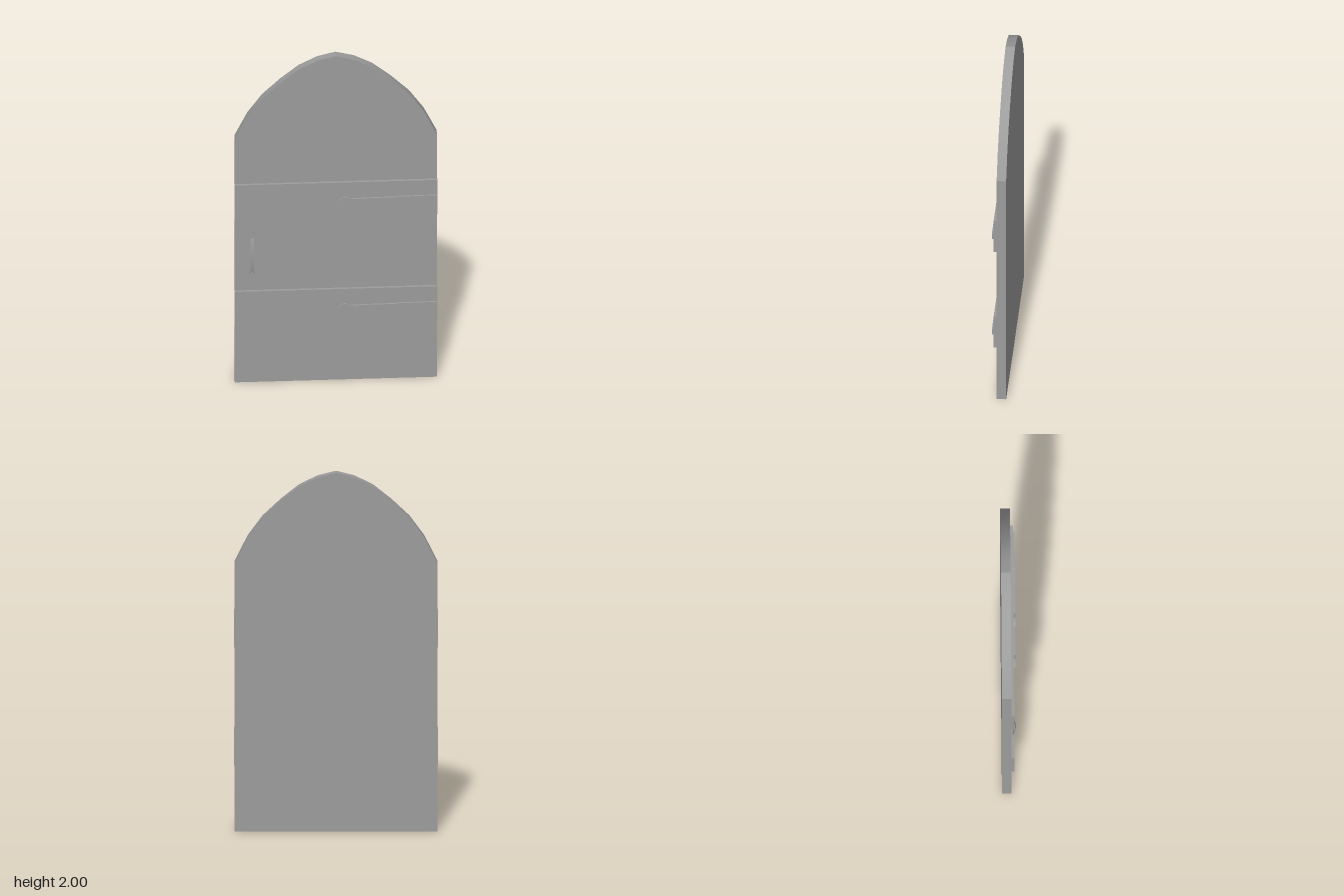
import * as THREE from 'three';
import { toCreasedNormals } from 'three/addons/utils/BufferGeometryUtils.js';

const material = new THREE.MeshStandardMaterial({ color: 0x9c9c9c });

function addMesh(parent, name, geometry) {
  const mesh = new THREE.Mesh(geometry, material);
  mesh.name = name;
  parent.add(mesh);
  return mesh;
}

// Flat plate cut from an outline, lying between two depths
function plate(points, back, front) {
  const shape = new THREE.Shape(points.map(([x, y]) => new THREE.Vector2(x, y)));
  const geometry = new THREE.ExtrudeGeometry(shape, { depth: front - back, bevelEnabled: false });
  return geometry.translate(0, 0, back);
}

// Close a half outline by mirroring it over the x axis
const mirrorY = (half) => [
  ...half,
  ...half.filter(([, y]) => y !== 0).map(([x, y]) => [x, -y]).reverse(),
];

export function createModel() {
  const door = new THREE.Group();
  door.name = 'archedDoor';

  // Door leaf with a pointed arch
  const arch = [[0.55, 1.5], [0.48, 1.64], [0.4, 1.75], [0.3, 1.845], [0.2, 1.925], [0.1, 1.975]];
  const outline = [
    [-0.55, 0], [0.55, 0], ...arch, [0, 2],
    ...arch.map(([x, y]) => [-x, y]).reverse(),
  ];
  addMesh(door, 'doorLeaf', toCreasedNormals(plate(outline, -0.039, 0.013), 0.45));

  // Cross planks, each with a leaf-tipped strap hinge
  const strap = mirrorY([
    [0.01, 0], [0.034, -0.019], [0.052, -0.021], [0.08, -0.009],
    [0.17, -0.012], [0.33, -0.013], [0.34, -0.016], [0.55, -0.018],
  ]);
  for (const [name, plankY, hingeY] of [['lower', 0.462, 0.459], ['upper', 1.12, 1.118]]) {
    const plank = addMesh(door, name + 'Plank', new THREE.BoxGeometry(1.106, 0.212, 0.02));
    plank.position.set(0, plankY, 0.019);
    const hinge = addMesh(door, name + 'StrapHinge', plate(strap, 0.027, 0.039));
    hinge.position.y = hingeY;
  }

  // Pull handle: bowed bar between two leaf-shaped end plates
  const handle = new THREE.Group();
  handle.name = 'pullHandle';
  handle.position.set(-0.456, 0.79, 0);
  door.add(handle);

  const bow = (bulge, z) => Array.from({ length: 13 }, (_, i) => {
    const t = i / 6 - 1;
    return [z + bulge * (1 - t * t), t * 0.112];
  });
  const bar = plate([...bow(0.013, 0.024), ...bow(0.014, 0.016).reverse()], -0.009, 0.009);
  addMesh(handle, 'handleBar', bar.rotateY(-Math.PI / 2));

  const leaf = [[0, 0.145], [-0.016, 0.123], [-0.009, 0.1], [0.009, 0.1], [0.016, 0.123]];
  for (const side of [1, -1]) {
    const end = addMesh(handle, side > 0 ? 'upperHandlePlate' : 'lowerHandlePlate', plate(leaf, 0.012, 0.025));
    if (side < 0) end.geometry.rotateZ(Math.PI);
  }

  return door;
}
